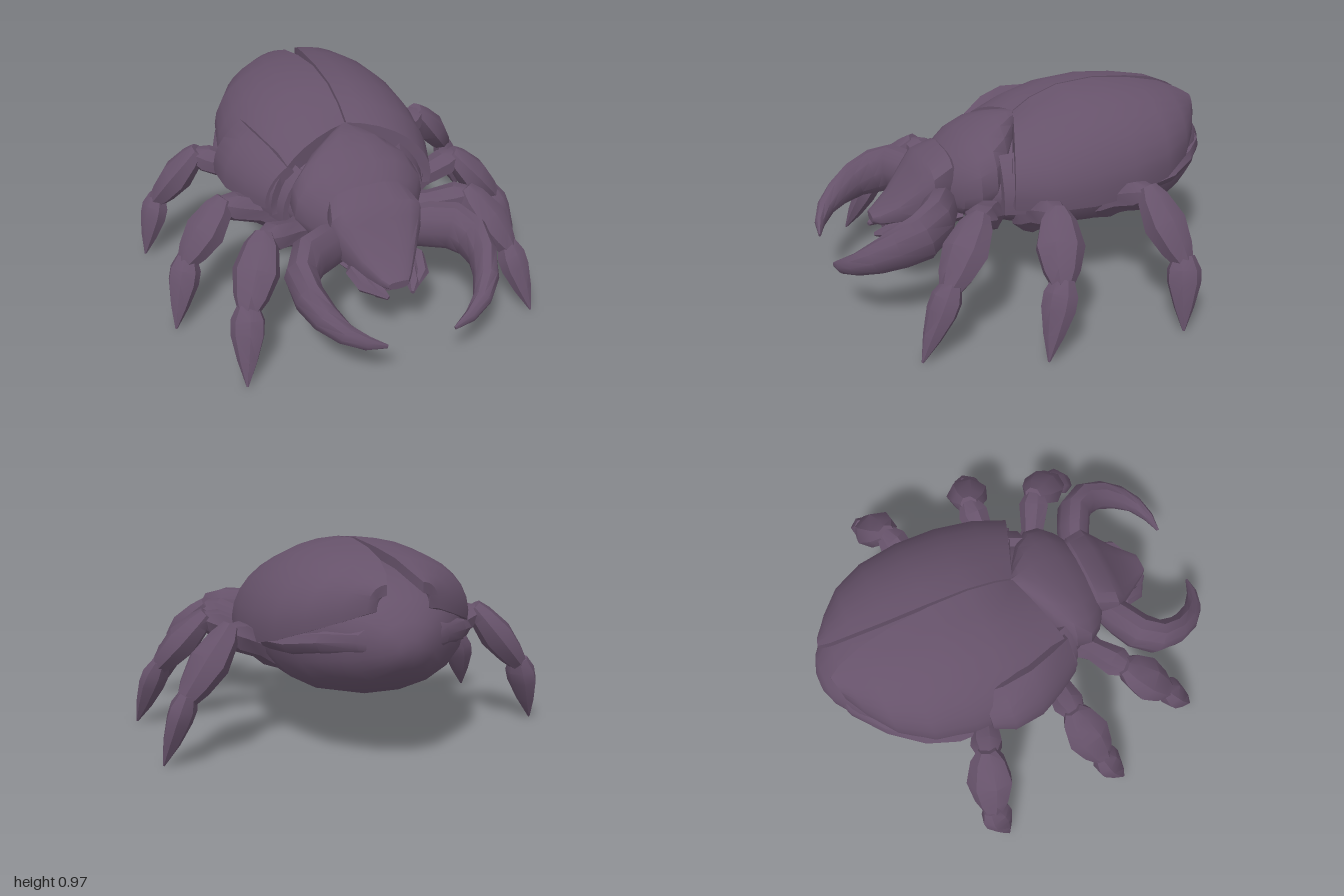
import * as THREE from 'three';
import { toCreasedNormals } from 'three/addons/utils/BufferGeometryUtils.js';

const V = (x, y, z) => new THREE.Vector3(x, y, z);
const shell = new THREE.MeshStandardMaterial({ color: 0x66526a });

// Closed skin over rings of points; each ring runs counter-clockwise seen from the end of the loft
function loft(rings, crease = 0.6) {
  const n = rings[0].length, pos = [], idx = [];
  rings.forEach(r => r.forEach(p => pos.push(p.x, p.y, p.z)));
  for (let j = 0; j < rings.length - 1; j++) {
    for (let i = 0; i < n; i++) {
      const a = j * n + i, b = j * n + (i + 1) % n;
      idx.push(a, b, b + n, a, b + n, a + n);
    }
  }
  [0, rings.length - 1].forEach((j, end) => {
    const c = rings[j].reduce((s, p) => s.add(p), V(0, 0, 0)).divideScalar(n);
    const k = pos.push(c.x, c.y, c.z) / 3 - 1;
    for (let i = 0; i < n; i++) {
      const a = j * n + i, b = j * n + (i + 1) % n;
      end ? idx.push(k, a, b) : idx.push(k, b, a);
    }
  });
  const g = new THREE.BufferGeometry();
  g.setAttribute('position', new THREE.Float32BufferAttribute(pos, 3));
  g.setIndex(idx);
  return toCreasedNormals(g, crease);
}

function part(name, geometry, parent) {
  const m = new THREE.Mesh(geometry, shell);
  m.name = name;
  parent.add(m);
  return m;
}

// Body built from rounded sections: [z, half width, bottom, top, centre x]
function body(sections, waist = 0.45, sides = 18, power = 0.85) {
  const bend = v => Math.sign(v) * Math.abs(v) ** power;
  return loft(sections.map(([z, w, lo, hi, cx = 0]) => {
    const mid = lo + (hi - lo) * waist;
    return Array.from({ length: sides }, (_, i) => {
      const a = i / sides * Math.PI * 2, s = bend(Math.sin(a));
      return V(cx + w * bend(Math.cos(a)), mid + s * (s > 0 ? hi - mid : mid - lo), z);
    });
  }));
}

// Limb along a path of [x, y, z, half width, half height]
function limb(path, sides = 8) {
  const pts = path.map(p => V(...p));
  return loft(path.map(([, , , w, h], j) => {
    const t = pts[Math.min(j + 1, pts.length - 1)].clone().sub(pts[Math.max(j - 1, 0)]).normalize();
    const side = V(0, 1, 0).cross(t).normalize(), up = t.clone().cross(side);
    return Array.from({ length: sides }, (_, i) => {
      const a = i / sides * Math.PI * 2;
      return pts[j].clone().addScaledVector(side, w * Math.cos(a)).addScaledVector(up, h * Math.sin(a));
    });
  }), 0.75);
}

// Straight limb piece between two points, profile of [fraction, half width, half height]
function segment(a, b, profile) {
  return limb(profile.map(([t, w, h]) => [...a.map((v, i) => v + (b[i] - v) * t), w, h]), 7);
}

// Thin curved plate, rows of [z, half width, base y, top y, x shift, z sweep], between two angles from the top
function plate(rows, from, to, thickness, steps = 9) {
  return loft(rows.map(([z, w, base, top, dx, sweep]) => {
    const arc = k => Array.from({ length: steps + 1 }, (_, i) => {
      const a = from + (to - from) * i / steps;
      return V(dx + (w - k) * Math.sin(a), base + (top - base - k) * Math.cos(a), z + sweep * Math.sin(a));
    });
    return [...arc(thickness), ...arc(0).reverse()];
  }), 0.6);
}

function leg(name, hip, knee, ankle, tip, parent) {
  const g = new THREE.Group();
  g.name = name;
  parent.add(g);
  part('upperLeg', segment(hip, knee, [[0, .075, .08], [.3, .085, .085], [.5, .06, .065], [.85, .08, .07], [1.03, .045, .035]]), g);
  part('lowerLeg', segment(knee, ankle, [[-.1, .045, .04], [.08, .085, .062], [.45, .115, .085], [.8, .085, .066], [1, .05, .045]]), g);
  part('claw', segment(ankle, tip, [[-.1, .05, .04], [.1, .08, .062], [.3, .08, .06], [.65, .048, .04], [1, .005, .005]]), g);
}

export function createModel() {
  const model = new THREE.Group();
  model.name = 'beetle';

  // Belly, abdomen and thorax core
  part('abdomen', body([
    [-1, .05, .55, .62, .04], [-.97, .13, .49, .69, .035], [-.88, .25, .41, .77, .03],
    [-.78, .345, .355, .82, .025], [-.68, .415, .31, .85, .015], [-.5, .48, .27, .87, .005], [-.3, .49, .265, .87],
    [-.1, .46, .27, .83], [.05, .41, .295, .77], [.17, .35, .33, .71], [.3, .29, .365, .65], [.42, .2, .38, .58],
  ], .53, 18, .9), model);

  // Rear rim below the wing covers
  part('rearRim', body([
    [-.985, .05, .56, .6, .04], [-.92, .22, .53, .69, .03], [-.8, .36, .5, .69, .02],
    [-.65, .465, .47, .66, .01], [-.5, .51, .46, .64], [-.3, .515, .45, .62], [0, .46, .45, .6],
  ], .5), model);

  // Thorax shield with its pointed back edge
  part('thoraxShield', body([
    [.02, .03, .7, .85, .03], [.07, .12, .58, .855, .02], [.14, .24, .47, .845, .01], [.22, .325, .41, .815],
    [.3, .33, .39, .775], [.37, .28, .39, .725], [.42, .21, .4, .67],
  ], .42), model);

  // Head with a flat sloping face, and a small lower jaw
  part('head', body([
    [.34, .17, .4, .66], [.4, .205, .38, .715], [.5, .235, .36, .67], [.55, .205, .36, .61],
    [.65, .135, .36, .49], [.73, .08, .36, .43], [.765, .05, .37, .41],
  ], .66, 14, .68), model);
  part('jaw', body([
    [.36, .22, .36, .47], [.5, .19, .33, .44], [.62, .13, .32, .42], [.71, .07, .325, .38],
  ], .5, 10), model);

  // Paired parts, mirrored about the body's middle
  for (const s of [1, -1]) {
    const half = new THREE.Group();
    half.name = s > 0 ? 'leftSide' : 'rightSide';
    half.scale.x = s;
    half.position.x = .01;
    model.add(half);

    // The seam lies a little to one side, so one cover is wider
    const cover = part('wingCover', plate([
      [-.93, .08, .74, .845, .08, .02], [-.87, .2, .71, .88, .055, .02], [-.76, .34, .67, .925, .033, .01],
      [-.6, .445, .62, .955, .015, 0], [-.4, .495, .58, .975, .004, 0], [-.2, .498, .56, .96, .002, .01],
      [-.06, .468, .55, .91, .002, .07], [.03, .405, .55, .85, .002, .15],
    ], .005, 1.72, .045), half);
    cover.position.x = s * .026;
    cover.scale.x = s > 0 ? 1 : 1.09;

    part('shoulderPlate', plate([
      [-.02, .43, .52, .82, 0, .02], [.08, .415, .51, .82, 0, .04], [.16, .37, .5, .8, 0, .05],
    ], .75, 1.7, .05, 5), half);

    // Curved pincer
    part('pincer', limb([
      [.16, .47, .45, .07, .1], [.27, .485, .5, .085, .12], [.365, .485, .55, .088, .125],
      [.425, .455, .63, .08, .12], [.43, .42, .74, .068, .098], [.395, .375, .84, .06, .075],
      [.335, .33, .92, .044, .052], [.25, .29, .97, .026, .035], [.165, .262, .99, .006, .01],
    ], 10), half);

    // Feelers beside the mouth
    part('innerFeeler', limb([
      [.06, .37, .56, .03, .03], [.1, .36, .65, .04, .04], [.085, .34, .72, .032, .03], [.06, .33, .765, .01, .01],
    ], 6), half);
    part('outerFeeler', limb([
      [.12, .39, .52, .03, .04], [.16, .39, .6, .04, .04], [.145, .36, .68, .035, .03], [.1, .34, .73, .012, .012],
    ], 6), half);

    // Legs
    leg('frontLeg', [.2, .41, .22], [.53, .54, .4], [.67, .3, .59], [.735, .01, .745], half);
    leg('middleLeg', [.25, .39, .06], [.63, .55, .06], [.84, .31, .13], [.94, .01, .235], half);
    leg('hindLeg', [.3, .42, -.28], [.64, .58, -.41], [.85, .31, -.48], [.95, .01, -.44], half);
  }

  // Raised flap on one flank
  part('sideFlap', plate([
    [-.33, .53, .6, .82, 0, 0], [-.23, .575, .59, .94, 0, 0], [-.08, .56, .58, .96, 0, 0],
    [.05, .5, .57, .92, 0, 0], [.16, .43, .56, .83, 0, 0],
  ], .82, 1.65, .05, 6), model).scale.x = -1;

  return model;
}
